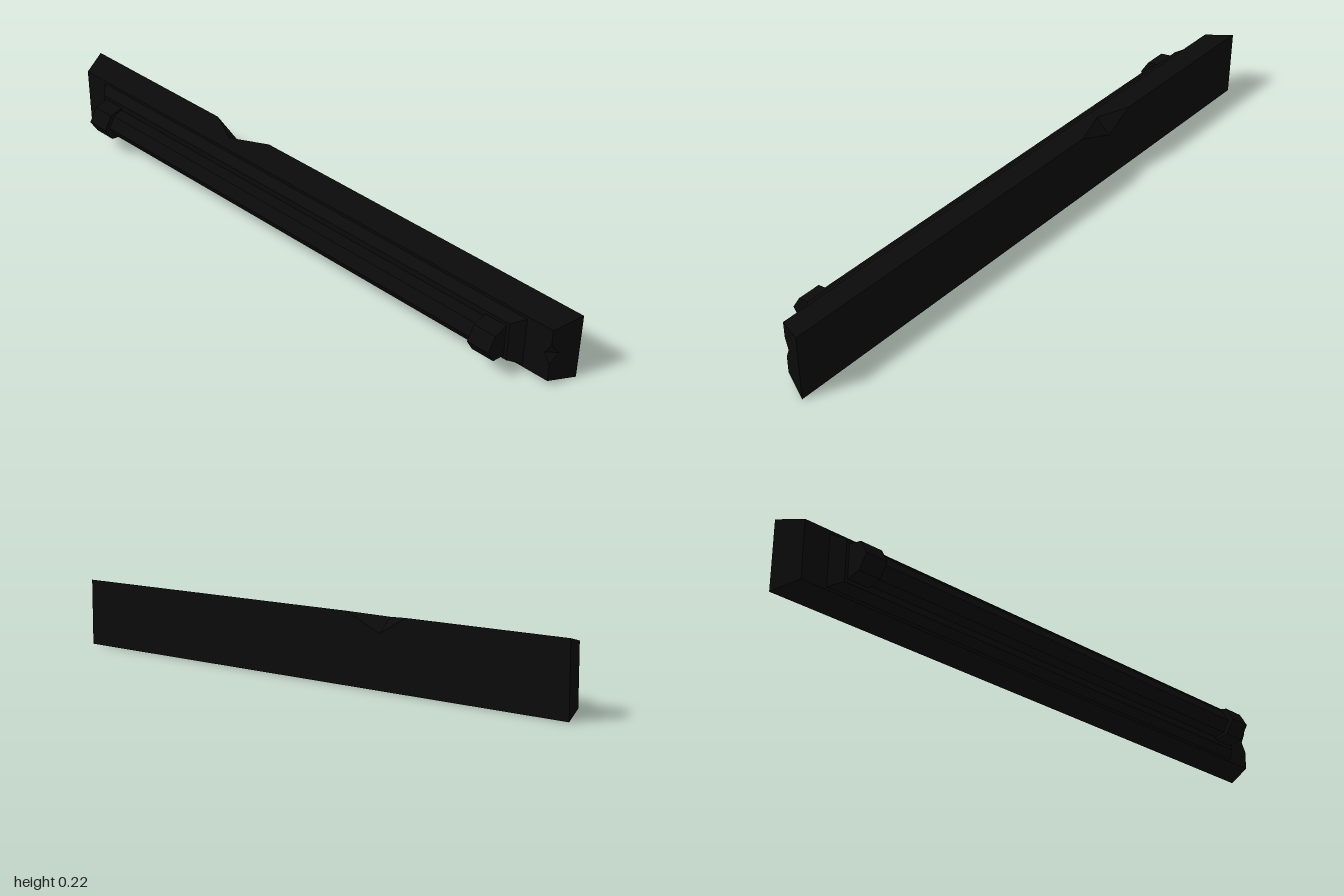
import * as THREE from 'three';
import { ConvexGeometry } from 'three/addons/geometries/ConvexGeometry.js';

const black = new THREE.MeshStandardMaterial({ color: 0x0a0a0a, flatShading: true });
black.name = 'black';

const MID = 0.111; // height of the long axis

function part(name, geometry) {
  const mesh = new THREE.Mesh(geometry, black);
  mesh.name = name;
  return mesh;
}

// Tapered slab from a rectangle at z0 to a smaller one at z1
function taperedSlab(hx0, hy0, z0, hx1, hy1, z1) {
  const pts = [];
  for (const sx of [-1, 1]) for (const sy of [-1, 1]) {
    pts.push(new THREE.Vector3(sx * hx0, MID + sy * hy0, z0));
    pts.push(new THREE.Vector3(sx * hx1, MID + sy * hy1, z1));
  }
  return new ConvexGeometry(pts);
}

// Roof-shaped bar along x: straight shoulders below a pointed ridge
function ridgedBar(x0, x1, rootHalf, shoulderHalf, zShoulder, zRidge) {
  const z0 = 0.02;
  const profile = [[z0, rootHalf], [zShoulder, shoulderHalf], [zRidge, 0],
    [zShoulder, -shoulderHalf], [z0, -rootHalf]];
  const shape = new THREE.Shape(profile.map(([z, y]) => new THREE.Vector2(-z, MID + y)));
  return new THREE.ExtrudeGeometry(shape, { depth: x1 - x0, bevelEnabled: false })
    .rotateY(Math.PI / 2).translate(x0, 0, 0);
}

// Backing slab, with a chip in the upper back edge and one in the left end
function backingGeometry() {
  const zb = -0.099, zf = -0.01;
  const v = {
    b0: [-1, 0, zb], b1: [1, 0, zb], b2: [1, 0.222, zb], b3: [-1, 0.222, zb],
    f0: [-0.965, 0.02, zf], f1: [0.965, 0.02, zf], f2: [0.965, 0.203, zf], f3: [-0.965, 0.203, zf],
    A: [-0.43, 0.222, zb], B: [-0.2, 0.222, zb], C: [-0.33, 0.2114, -0.05], D: [-0.33, 0.167, zb],
    P: [0.965, 0.15, zf], Q: [0.965, 0.08, zf], M: [0.945, 0.115, zf], N: [0.975, 0.115, -0.035],
  };
  const faces = [
    'D B b2 b1 b0 b3 A', // back
    'C A b3 f3 f2 b2 B', // top
    'f0 b0 b1 f1', // bottom
    'M P f2 f3 f0 f1 Q', // front
    'N Q f1 b1 b2 f2 P', // left end
    'f3 b3 b0 f0', // right end
    'A C D', 'C B D', // edge chip
    'P M N', 'M Q N', // end chip
  ];
  const pos = [];
  for (const face of faces) {
    const k = face.split(' ');
    for (let i = 1; i < k.length - 1; i++) pos.push(...v[k[0]], ...v[k[i]], ...v[k[i + 1]]);
  }
  const g = new THREE.BufferGeometry();
  g.setAttribute('position', new THREE.Float32BufferAttribute(pos, 3));
  g.computeVertexNormals();
  return g;
}

export function createModel() {
  const model = new THREE.Group();
  model.name = 'wallBar';

  model.add(part('backingSlab', backingGeometry()));
  model.add(part('raisedPanel', taperedSlab(0.88, 0.083, -0.012, 0.845, 0.066, 0.024)));
  model.add(part('centralBar', ridgedBar(-0.77, 0.77, 0.046, 0.037, 0.058, 0.08)));

  // End collars
  for (const [name, x0] of [['rightCollar', -0.835], ['leftCollar', 0.76]]) {
    model.add(part(name, ridgedBar(x0, x0 + 0.075, 0.055, 0.045, 0.072, 0.099)));
  }
  return model;
}
